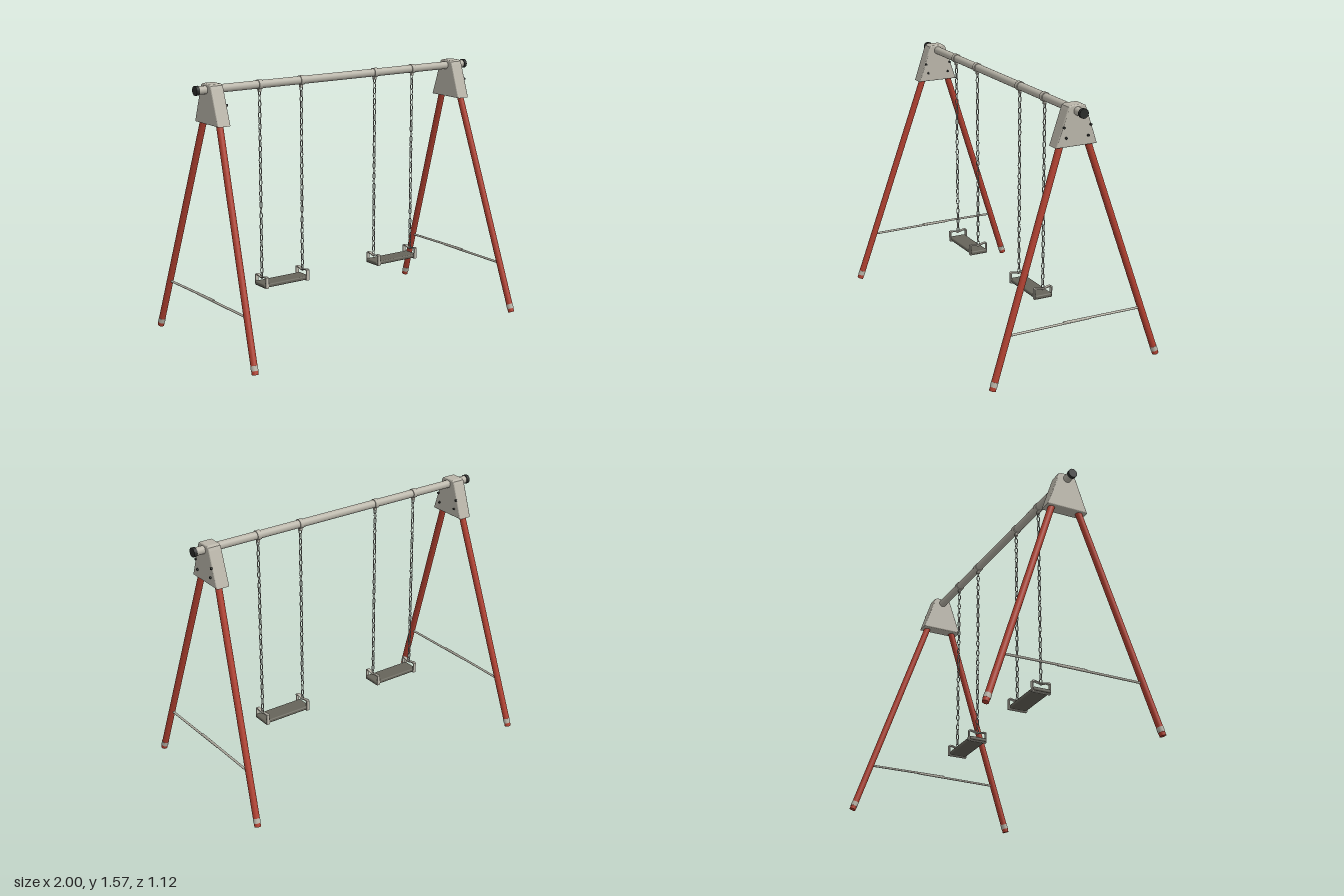
import * as THREE from 'three';
import { RoundedBoxGeometry } from 'three/addons/geometries/RoundedBoxGeometry.js';

const paint = (name, color) => Object.assign(new THREE.MeshStandardMaterial({ color }), { name });

export function createModel() {
  const mats = {
    red: paint('red leg paint', 0xb04030),
    grey: paint('warm grey', 0xb9b5a9),
    steel: paint('chain steel', 0xa5a39c),
    seat: paint('seat rubber', 0x66645a),
    dark: paint('dark plastic', 0x2a2c2a),
  };
  const root = new THREE.Group();
  root.name = 'swingSet';
  const add = (parent, name, geo, mat, x = 0, y = 0, z = 0) => {
    const m = new THREE.Mesh(geo, mat);
    m.name = name;
    m.position.set(x, y, z);
    parent.add(m);
    return m;
  };
  const group = (name, parent = root) => {
    const g = new THREE.Group();
    g.name = name;
    parent.add(g);
    return g;
  };
  // cylinder between two points
  const rod = (parent, name, a, b, r, mat, sides = 20) => {
    const d = b.clone().sub(a);
    const m = add(parent, name, new THREE.CylinderGeometry(r, r, d.length(), sides), mat);
    m.position.copy(a).add(b).multiplyScalar(0.5);
    m.quaternion.setFromUnitVectors(new THREE.Vector3(0, 1, 0), d.normalize());
    return m;
  };
  const V = (x, y, z) => new THREE.Vector3(x, y, z);
  const beamY = 1.54;

  // top beam with end caps
  rod(root, 'topBeam', V(-0.985, beamY, 0), V(0.985, beamY, 0), 0.024, mats.grey, 28);
  for (const s of [-1, 1])
    rod(root, 'beamEndCap', V(s * 0.98, beamY, 0), V(s, beamY, 0), 0.028, mats.dark, 24);

  // trapezoid bracket profile, bevelled when extruded
  const bevel = 0.008;
  const profile = new THREE.Shape([
    [-0.121, 1.348], [0.121, 1.348], [0.053, 1.545], [0.047, 1.56],
    [0.036, 1.566], [-0.036, 1.566], [-0.047, 1.56], [-0.053, 1.545],
  ].map(([x, y]) => new THREE.Vector2(x, y)));
  const depth = 0.084;
  const bracketGeo = new THREE.ExtrudeGeometry(profile, {
    depth: depth - 2 * bevel, bevelSize: bevel, bevelThickness: bevel, bevelSegments: 3,
  });
  bracketGeo.translate(0, 0, -depth / 2 + bevel).rotateY(Math.PI / 2);
  const boltGeo = new THREE.CylinderGeometry(0.007, 0.007, 0.012, 10).rotateZ(Math.PI / 2);

  for (const s of [-1, 1]) {
    const frame = group(s < 0 ? 'rightFrame' : 'leftFrame');
    add(frame, 'bracket', bracketGeo, mats.grey, s * 0.887);
    for (const f of [-1, 1]) {
      // splayed leg with a foot ring and tip
      const foot = V(s * 0.968, 0.007, f * 0.543), top = V(s * 0.888, 1.47, f * 0.047);
      const at = (t) => foot.clone().lerp(top, t);
      rod(frame, 'leg', at(0.012), top, 0.02, mats.red, 24);
      rod(frame, 'footTip', foot, at(0.016), 0.0195, mats.red);
      rod(frame, 'footRing', at(0.015), at(0.034), 0.0212, mats.grey);
      for (const [y, z] of [[1.455, 0.084], [1.395, 0.07]])
        add(frame, 'bolt', boltGeo, mats.dark, s * 0.887 + depth / 2 + 0.002, y, f * z);
    }
    // overlapping halves of the cross brace
    rod(frame, 'braceFrontHalf', V(s * 0.951, 0.311, 0.435), V(s * 0.951, 0.315, -0.1), 0.007, mats.grey, 12);
    rod(frame, 'braceBackHalf', V(s * 0.951, 0.319, 0.08), V(s * 0.951, 0.315, -0.435), 0.007, mats.grey, 12);
  }

  // chain link: a closed stadium loop
  const linkPts = [];
  for (const e of [1, -1])
    for (let i = 0; i <= 4; i++) {
      const a = (i / 4) * Math.PI + (e > 0 ? 0 : Math.PI);
      linkPts.push(V(0.0075 * Math.cos(a), 0.0105 * e + 0.0075 * Math.sin(a), 0));
    }
  const linkGeo = new THREE.TubeGeometry(new THREE.CatmullRomCurve3(linkPts, true), 18, 0.003, 5, true);

  // stirrup wrapped around the seat end, with a dipped top bar
  const vec = (pts) => pts.map(([x, y]) => new THREE.Vector2(x, y));
  const stirrup = new THREE.Shape(vec([
    [-0.06, 0.317], [0.06, 0.317], [0.06, 0.383], [0.052, 0.388], [0.036, 0.386],
    [0, 0.377], [-0.036, 0.386], [-0.052, 0.388], [-0.06, 0.383],
  ]));
  stirrup.holes.push(new THREE.Path(vec([
    [-0.054, 0.323], [-0.054, 0.379], [-0.036, 0.38], [0, 0.371],
    [0.036, 0.38], [0.054, 0.379], [0.054, 0.323],
  ])));
  const stirrupGeo = new THREE.ExtrudeGeometry(stirrup, { depth: 0.02, bevelEnabled: false });
  stirrupGeo.translate(0, 0, -0.01).rotateY(Math.PI / 2);

  const seatGeo = new RoundedBoxGeometry(0.33, 0.023, 0.11, 3, 0.008);
  const clampGeo = new THREE.CylinderGeometry(0.0285, 0.0285, 0.028, 24).rotateZ(Math.PI / 2);
  const lugGeo = new THREE.BoxGeometry(0.018, 0.02, 0.016);
  const links = 34, topLink = 1.493, lowLink = 0.385;

  for (const s of [-1, 1]) {
    const swing = group(s < 0 ? 'rightSwing' : 'leftSwing');
    swing.position.x = s * 0.421;
    add(swing, 'seat', seatGeo, mats.seat, 0, 0.332, 0);
    for (const e of [-1, 1]) {
      const x = e * 0.147;
      add(swing, 'beamClamp', clampGeo, mats.grey, x, beamY);
      add(swing, 'clampLug', lugGeo, mats.grey, x, 1.507);
      add(swing, 'seatStirrup', stirrupGeo, mats.grey, x);
      const chain = group('chain', swing);
      for (let i = 0; i < links; i++) {
        const y = THREE.MathUtils.lerp(topLink, lowLink, i / (links - 1));
        add(chain, 'chainLink', linkGeo, mats.steel, x, y).rotation.y = (i % 2) * Math.PI / 2;
      }
    }
  }
  return root;
}
